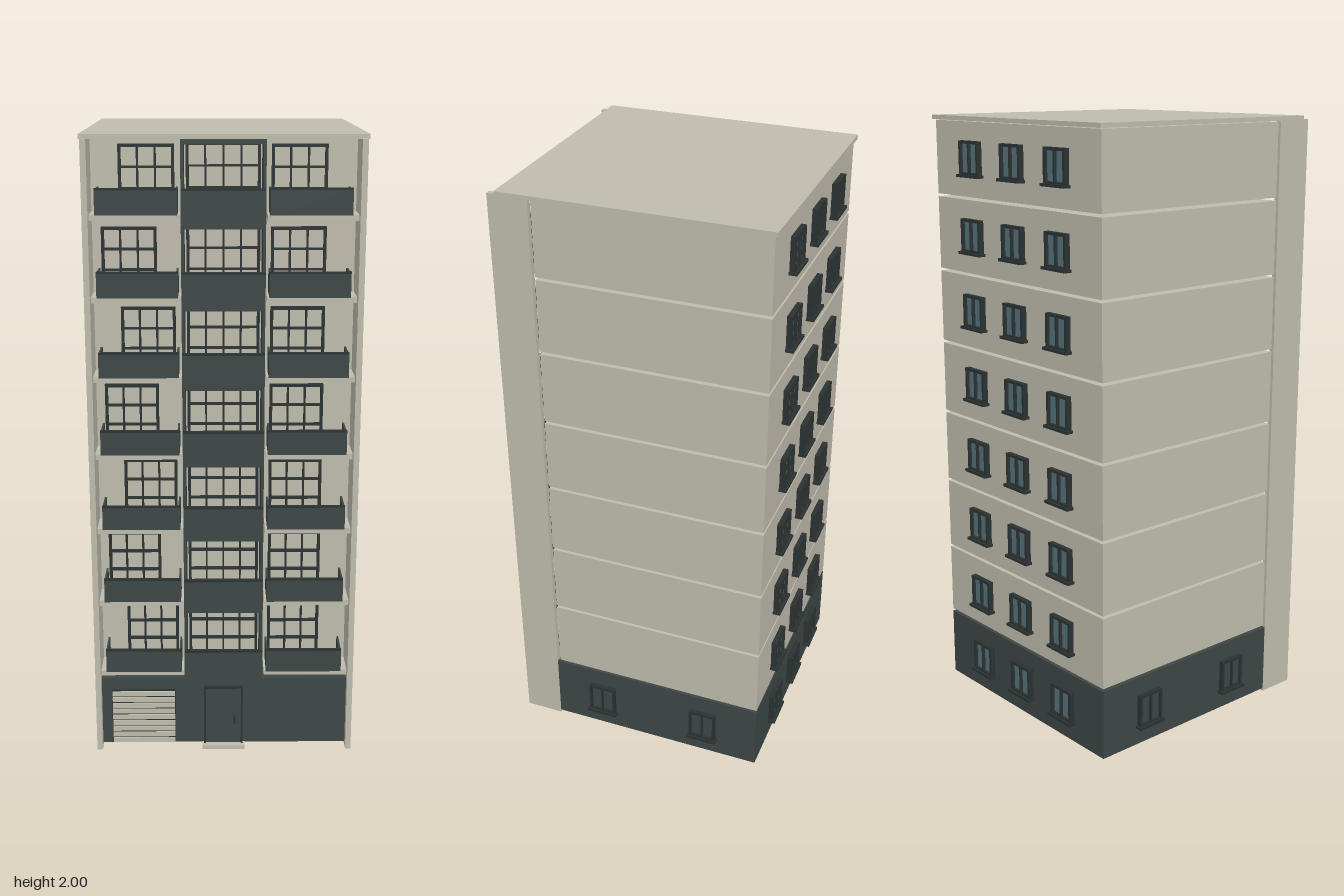
import * as THREE from 'three';

const mat = (name, color) => {
  const m = new THREE.MeshStandardMaterial({ color });
  m.name = name;
  return m;
};

export function createModel() {
  const building = new THREE.Group();
  building.name = 'apartmentBuilding';
  const plaster = mat('plaster', 0xbfbbad);
  const slate = mat('slate', 0x3d4646);
  const frame = mat('frame', 0x2b3232);
  const glass = mat('glass', 0x55717a);

  // Box given by its minimum and maximum on each axis
  function box(parent, name, material, x0, x1, y0, y1, z0, z1) {
    const mesh = new THREE.Mesh(new THREE.BoxGeometry(x1 - x0, y1 - y0, z1 - z0), material);
    mesh.position.set((x0 + x1) / 2, (y0 + y1) / 2, (z0 + z1) / 2);
    mesh.name = name;
    parent.add(mesh);
    return mesh;
  }
  function group(parent, name) {
    const g = new THREE.Group();
    g.name = name;
    parent.add(g);
    return g;
  }

  // Rectangular border with evenly spaced bars, lying in an x-y plane
  function grille(parent, name, x0, x1, y0, y1, z0, z1, columns, rows) {
    const g = group(parent, name);
    const t = 0.009;
    for (let i = 0; i <= columns; i++) {
      const w = i === 0 || i === columns ? t : 0.006;
      const x = x0 + t / 2 + ((x1 - x0 - t) * i) / columns;
      box(g, 'uprightBar', frame, x - w / 2, x + w / 2, y0, y1, z0, z1);
    }
    for (let j = 0; j <= rows; j++) {
      const w = j === 0 || j === rows ? t : 0.006;
      const y = y0 + t / 2 + ((y1 - y0 - t) * j) / rows;
      box(g, 'crossBar', frame, x0 + t / 2, x1 - t / 2, y - w / 2, y + w / 2, z0, z1 - 0.001);
    }
    return g;
  }

  // Two-pane window facing +z, with its back on z = 0 and sill at y = 0
  function smallWindow(name, pane) {
    const g = new THREE.Group();
    g.name = name;
    box(g, 'pane', pane, -0.045, 0.045, 0.012, 0.108, 0, 0.008);
    grille(g, 'windowFrame', -0.051, 0.051, 0.006, 0.115, 0, 0.018, 2, 1);
    box(g, 'sill', frame, -0.058, 0.058, 0, 0.009, 0, 0.026);
    return g;
  }

  // Ground floor, side walls and roof
  const pitch = 0.2483, base = 0.255;
  box(building, 'groundFloor', slate, -0.42, 0.42, 0.01, 0.245, -0.425, 0.42);
  box(building, 'roof', plaster, -0.428, 0.428, 1.986, 2, -0.435, 0.422);
  for (const s of [-1, 1]) {
    const x0 = s < 0 ? -0.421 : 0.403;
    box(building, 'sideFin', plaster, x0, x0 + 0.018, 0, 1.988, 0.32, 0.45);
  }

  // Back windows of every storey
  for (let floor = -1; floor < 7; floor++) {
    for (const x of [-0.222, -0.002, 0.218]) {
      const w = smallWindow('backWindow', glass);
      w.rotation.y = Math.PI;
      w.position.set(x, floor < 0 ? 0.073 : base + 0.064 + floor * pitch, -0.425);
      building.add(w);
    }
  }

  // Blind windows on both sides of the ground floor
  for (const s of [-1, 1]) {
    for (const z of [0.145, -0.232]) {
      const w = smallWindow('sideWindow', slate);
      w.rotation.y = (s * Math.PI) / 2;
      w.position.set(s * 0.42, 0.068, z);
      w.scale.set(0.93, 1.02, 0.9);
      building.add(w);
    }
  }

  // Upper storeys
  for (let floor = 0; floor < 7; floor++) {
    const y = base + floor * pitch;
    const storey = group(building, 'storey');
    box(storey, 'storeyBody', plaster, -0.42, 0.42, y, y + 0.2385, -0.425, 0.31);

    // Recessed central bay
    const bay = group(storey, 'centralBay');
    grille(bay, 'bayWindow', -0.115, 0.112, y + 0.02, y + 0.226, 0.31, 0.325, 4, 3);
    for (const x of [-0.129, 0.116]) {
      box(bay, 'bayCheek', slate, x, x + 0.009, y - 0.006, y + 0.24, 0.312, 0.43);
    }
    box(bay, 'bayParapet', slate, -0.128, 0.125, y - 0.006, y + 0.092, 0.428, 0.44);
    box(bay, 'bayHandrail', frame, -0.128, 0.125, y + 0.092, y + 0.098, 0.426, 0.441);
    box(bay, 'bayFloor', slate, -0.12, 0.116, y - 0.004, y + 0.008, 0.325, 0.428);
    box(bay, 'bayLintel', slate, -0.12, 0.116, y + 0.226, y + 0.239, 0.312, 0.425);

    // Balconies; the windows swap sides on alternate storeys
    for (const s of [-1, 1]) {
      const x0 = s < 0 ? -0.385 : 0.137;
      const x1 = x0 + 0.246;
      const balcony = group(storey, s < 0 ? 'rightBalcony' : 'leftBalcony');
      box(balcony, 'balconyFloor', plaster, s < 0 ? -0.403 : 0.13, s < 0 ? -0.13 : 0.403,
        y + 0.002, y + 0.02, 0.325, 0.421);
      box(balcony, 'balconyFront', slate, x0, x1, y + 0.02, y + 0.094, 0.425, 0.433);
      box(balcony, 'balconySoffit', plaster, x0, x1, y + 0.012, y + 0.02, 0.42, 0.432);
      box(balcony, 'balconyRail', frame, x0, x1, y + 0.094, y + 0.1, 0.424, 0.434);
      for (const x of [x0, x1 - 0.006]) {
        box(balcony, 'balconySide', slate, x, x + 0.006, y + 0.02, y + 0.094, 0.325, 0.425);
      }
      const outward = (floor % 2 === 1) === (s < 0);
      const shift = s < 0 ? (outward ? -0.376 : -0.32) : (outward ? 0.145 : 0.203);
      const start = floor % 2 === 1 ? (s < 0 ? -0.376 : 0.145) : shift;
      grille(balcony, 'balconyWindow', start, start + 0.17, y + 0.02, y + 0.22, 0.31, 0.325, 3, 3);
    }
  }

  // Roller shutter
  const garage = group(building, 'garageShutter');
  box(garage, 'shutterBack', frame, -0.37, -0.16, 0.012, 0.205, 0.42, 0.423);
  for (let i = 0; i < 9; i++) {
    const y = 0.014 + i * 0.0212;
    box(garage, 'slat', plaster, -0.368, -0.162, y, y + 0.016, 0.422, 0.428);
  }

  // Entrance
  const entrance = group(building, 'entrance');
  box(entrance, 'door', slate, -0.06, 0.056, 0.012, 0.212, 0.42, 0.426);
  for (const x of [-0.066, 0.056]) {
    box(entrance, 'doorJamb', frame, x, x + 0.006, 0.012, 0.218, 0.42, 0.432);
  }
  box(entrance, 'doorHead', frame, -0.066, 0.062, 0.212, 0.218, 0.42, 0.432);
  box(entrance, 'doorHandle', frame, 0.032, 0.038, 0.085, 0.112, 0.426, 0.435);
  box(entrance, 'doorStep', plaster, -0.072, 0.068, 0, 0.012, 0.4, 0.45);

  return building;
}
